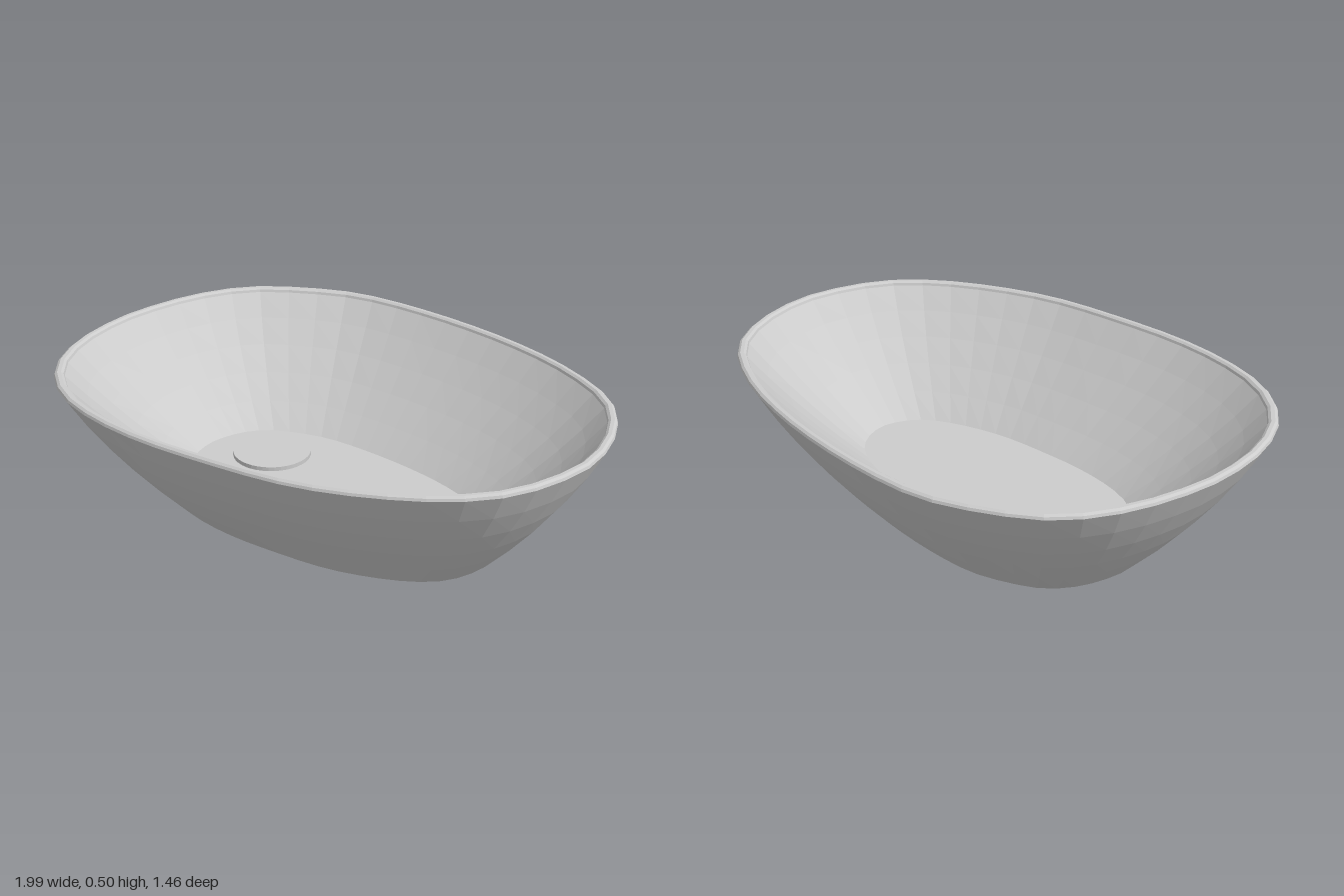
import * as THREE from 'three';

const SEGMENTS = 48;

// Plan outline of the rim as x, z pairs, full size
const OUTLINE = [
  [-0.16, -0.733], [0.243, -0.7], [0.564, -0.615], [0.805, -0.48], [0.934, -0.294], [0.995, -0.06],
  [0.97, 0.134], [0.905, 0.294], [0.75, 0.455], [0.4, 0.637], [0, 0.708], [-0.265, 0.724],
  [-0.505, 0.697], [-0.69, 0.632], [-0.853, 0.5], [-0.955, 0.31], [-0.998, 0.07], [-0.987, -0.107],
  [-0.934, -0.32], [-0.827, -0.5], [-0.64, -0.632], [-0.46, -0.708],
];

const plan = new THREE.CatmullRomCurve3(
  OUTLINE.map(([x, z]) => new THREE.Vector3(x, 0, z)), true, 'centripetal',
).getSpacedPoints(SEGMENTS).slice(0, SEGMENTS);

// Skin a list of rings, each given as [x scale, z scale, height]
function loft(rings) {
  const positions = [];
  const index = [];
  for (const [sx, sz, y] of rings) {
    for (const p of plan) positions.push(p.x * sx, y, p.z * sz);
  }
  for (let r = 0; r < rings.length - 1; r++) {
    for (let j = 0; j < SEGMENTS; j++) {
      const k = (j + 1) % SEGMENTS;
      const a = r * SEGMENTS + j, b = r * SEGMENTS + k;
      const d = a + SEGMENTS, c = b + SEGMENTS;
      if (rings[r][0] > 0) index.push(a, c, b);
      if (rings[r + 1][0] > 0) index.push(a, d, c);
    }
  }
  const geometry = new THREE.BufferGeometry();
  geometry.setAttribute('position', new THREE.Float32BufferAttribute(positions, 3));
  geometry.setIndex(index);
  const flat = geometry.toNonIndexed();
  flat.computeVertexNormals();
  return flat;
}

// Rings between two ends, swelling outward in the middle
function wall(from, to, steps, bulge) {
  return Array.from({ length: steps + 1 }, (_, i) => {
    const t = i / steps;
    const swell = bulge * t * (1 - t);
    return from.map((v, n) => v + (to[n] - v) * t + (n < 2 ? swell : 0));
  });
}

export function createModel() {
  const group = new THREE.Group();
  group.name = 'washBasin';
  const ceramic = new THREE.MeshStandardMaterial({ color: 0xcccccc });
  ceramic.name = 'ceramic';
  ceramic.flatShading = true;

  const add = (name, geometry) => {
    const mesh = new THREE.Mesh(geometry, ceramic);
    mesh.name = name;
    group.add(mesh);
    return mesh;
  };

  const base = [0.635, 0.5, 0];
  const lipOuter = [1, 1, 0.485];
  const lipInner = [0.966, 0.953, 0.485];
  const floor = [0.578, 0.4, 0.095];

  // Outside of the bowl
  add('underside', loft([[0, 0, 0], base]));
  add('outerWall', loft(wall(base, lipOuter, 5, 0.13)));

  // Rounded lip
  add('rim', loft([lipOuter, [0.997, 0.996, 0.494], [0.989, 0.985, 0.5],
    [0.977, 0.968, 0.5], [0.969, 0.957, 0.494], lipInner]));

  // Inside of the bowl
  add('innerWall', loft(wall(lipInner, floor, 5, 0.1)));
  add('basinFloor', loft([floor, [0, 0, 0.095]]));

  // Drain cover
  const drain = add('drainCover', new THREE.CylinderGeometry(0.142, 0.142, 0.02, 40));
  drain.position.set(-0.345, 0.1, -0.06);

  return group;
}
